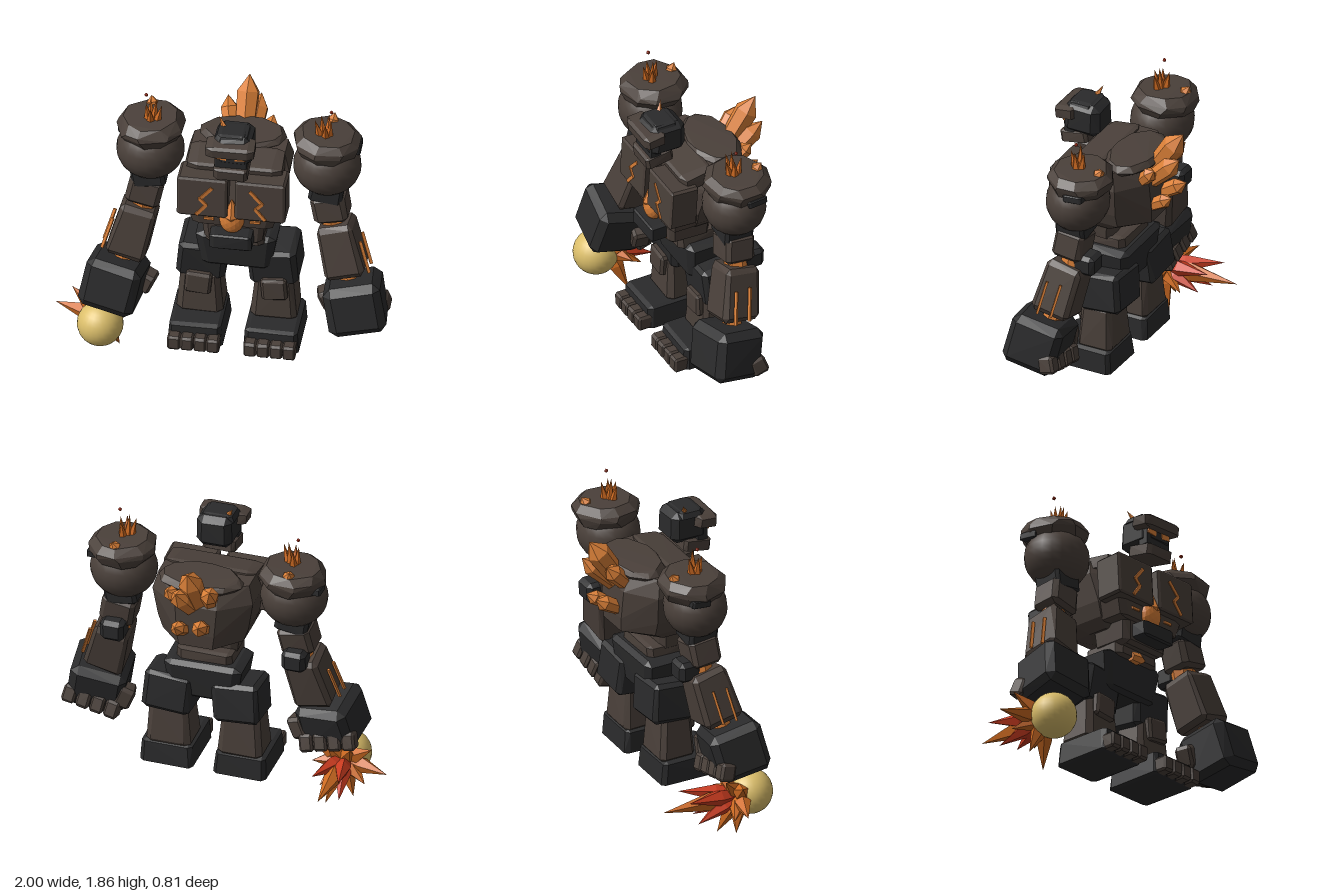
import * as THREE from 'three';
import { ConvexGeometry } from 'three/addons/geometries/ConvexGeometry.js';

const paint = (name, color) => {
  const m = new THREE.MeshStandardMaterial({ color });
  m.name = name;
  return m;
};

export function createModel() {
  const model = new THREE.Group();
  model.name = 'rockGolem';
  const brown = paint('brown rock', 0x4a403a);
  const black = paint('black rock', 0x2a2a2b);
  const orange = paint('orange crystal', 0xdb8038);
  const flame = paint('flame orange', 0xcf6b22);
  const red = paint('flame red', 0xcb3c20);
  const yellow = paint('fireball yellow', 0xdcbf6b);
  const C = 0.08; // body's own middle line

  let seed = 7;
  const rnd = () => {
    seed = (seed * 16807) % 2147483647;
    return seed / 2147483647 - 0.5;
  };
  const add = (name, geo, mat, pos = [0, 0, 0], rot = [0, 0, 0]) => {
    const m = new THREE.Mesh(geo, mat);
    m.name = name;
    m.position.set(...pos);
    m.rotation.set(...rot);
    model.add(m);
    return m;
  };
  const flat = (geo) => {
    const g = geo.index ? geo.toNonIndexed() : geo;
    g.computeVertexNormals();
    return g;
  };
  // Box with chamfered edges; top and bottom may taper, jitter roughens it
  const rock = (name, mat, pos, [w, h, d], { rot, top = 1, bottom = 1, bevel = 0.1, jitter = 0.06 } = {}) => {
    const pts = [];
    for (const x of [-1, 1]) for (const y of [-1, 1]) for (const z of [-1, 1]) {
      const t = y > 0 ? top : bottom;
      for (let a = 0; a < 3; a++) {
        const k = [0, 1, 2].map((i) => (i === a ? 1 : 1 - 2 * bevel) + rnd() * jitter);
        pts.push(new THREE.Vector3(x * w * t * k[0], y * h * k[1], z * d * t * k[2]).multiplyScalar(0.5));
      }
    }
    return add(name, new ConvexGeometry(pts), mat, pos, rot);
  };
  // Uneven disc of stone: rings of [radius, height] joined as a hull
  const disc = (name, mat, pos, rings, sides, rot) => {
    const pts = [];
    for (const [r, y] of rings) for (let i = 0; i < sides; i++) {
      const a = ((i + rnd() * 0.4) / sides) * Math.PI * 2, q = r * (1 + rnd() * 0.06);
      pts.push(new THREE.Vector3(q * Math.cos(a), y + rnd() * 0.012, q * Math.sin(a)));
    }
    return add(name, new ConvexGeometry(pts), mat, pos, rot);
  };
  // Turned shard from a base point to a tip; body is where the point begins
  const shard = (name, mat, from, to, r, body = 0.65, sides = 6) => {
    const a = new THREE.Vector3(...from), dir = new THREE.Vector3(...to).sub(a), L = dir.length();
    const profile = [[0, 0], [r * 0.8, 0], [r, L * body], [0, L]].map((p) => new THREE.Vector2(...p));
    const m = add(name, flat(new THREE.LatheGeometry(profile, sides)), mat, from);
    m.quaternion.setFromUnitVectors(new THREE.Vector3(0, 1, 0), dir.normalize());
    return m;
  };
  // Thin glowing strip between two points
  const strip = (name, from, to, w, t = 0.009) => {
    const a = new THREE.Vector3(...from), dir = new THREE.Vector3(...to).sub(a), L = dir.length();
    const m = add(name, new THREE.BoxGeometry(w, L + w * 0.4, t), orange);
    m.position.copy(a).addScaledVector(dir, 0.5);
    m.quaternion.setFromUnitVectors(new THREE.Vector3(0, 1, 0), dir.normalize());
    return m;
  };

  // Torso: hull of octagonal sections [y, half width, front z, back z]
  const torso = [];
  for (const [y, hw, zf, zb] of [
    [1.09, 0.2, 0.2, -0.09], [1.15, 0.25, 0.28, -0.235], [1.24, 0.28, 0.29, -0.24],
    [1.42, 0.31, 0.23, -0.23], [1.53, 0.28, 0.17, -0.17],
  ]) for (let i = 0; i < 8; i++) {
    const a = ((i + 0.5) / 8) * Math.PI * 2;
    torso.push(new THREE.Vector3(C + hw * 1.08 * Math.cos(a), y, (zf + zb) / 2 + ((zf - zb) / 2) * 1.08 * Math.sin(a)));
  }
  add('torso', new ConvexGeometry(torso), brown);
  const slab = disc('neckSlab', brown, [C + 0.01, 1.53, -0.085], [[0.23, -0.03], [0.265, 0], [0.23, 0.03]], 11);
  slab.scale.z = 0.6;
  rock('collar', brown, [C, 1.49, 0.13], [0.56, 0.09, 0.2], { rot: [0.15, 0, 0] });
  rock('ribs', brown, [C, 1.18, 0.2], [0.54, 0.13, 0.2], { bottom: 0.88, jitter: 0 });
  rock('abdomen', brown, [C, 1.08, 0.13], [0.38, 0.2, 0.28], { bottom: 0.92 });
  rock('waist', brown, [C, 0.97, 0.06], [0.34, 0.1, 0.28]);
  rock('beltBlock', black, [C, 1.055, 0.31], [0.25, 0.1, 0.11]);
  rock('pelvis', black, [C, 0.83, 0.02], [0.48, 0.25, 0.3], { bottom: 0.86, jitter: 0.04 });
  shard('pelvisGem', orange, [C - 0.06, 0.935, 0.19], [C + 0.075, 0.94, 0.19], 0.036, 0.5);

  // Glowing core
  const core = add('core', flat(new THREE.IcosahedronGeometry(1, 2)), orange, [C - 0.002, 1.182, 0.288]);
  core.scale.set(0.075, 0.096, 0.058);
  shard('coreTip', orange, [C, 1.2, 0.3], [C, 1.34, 0.3], 0.055, 0.15);

  // Head
  rock('skull', black, [C + 0.01, 1.715, 0.24], [0.22, 0.2, 0.24], { top: 0.96, bevel: 0.18 });
  rock('brow', brown, [C, 1.745, 0.335], [0.29, 0.08, 0.14], { rot: [0.1, 0, 0.02], bevel: 0.15 });
  rock('crownPlate', black, [C, 1.795, 0.25], [0.21, 0.045, 0.18], { top: 0.85, bevel: 0.15 });
  rock('face', black, [C, 1.66, 0.32], [0.19, 0.11, 0.07], { bevel: 0.05, jitter: 0 });
  rock('jaw', brown, [C, 1.58, 0.29], [0.2, 0.078, 0.18], { rot: [0.17, 0, 0] });
  shard('horn', orange, [0.035, 1.78, 0.23], [-0.012, 1.865, 0.19], 0.024, 0.1, 5);

  // Back crystals: tip, base, radius
  for (const [tip, base, r] of [
    [[0.08, 1.74, -0.39], [0.08, 1.4, -0.16], 0.072],
    [[0.15, 1.6, -0.4], [0.12, 1.36, -0.16], 0.06],
    [[-0.04, 1.61, -0.34], [0.02, 1.4, -0.14], 0.055],
    [[0.24, 1.54, -0.28], [0.2, 1.4, -0.15], 0.045],
    [[0.02, 1.375, -0.38], [0.04, 1.24, -0.16], 0.05],
    [[0.17, 1.34, -0.36], [0.15, 1.22, -0.17], 0.045],
  ]) shard('backCrystal', orange, base, tip, r, 0.75);

  for (const s of [-1, 1]) {
    const P = (x, y, z) => [C + s * x, y, z];
    const R = (x, y, z) => [x, s * y, s * z];

    // Chest plate, leaning back a little, with zigzag crack
    rock('chestPlate', brown, P(0.172, 1.35, 0.25), [0.3, 0.265, 0.18], { rot: [-0.06, 0, 0], bevel: 0.05, jitter: 0 });
    const zig = [[0.115, 1.43], [0.185, 1.35], [0.147, 1.31], [0.203, 1.24]].map(([x, y]) => P(x, y, 0.343 - (y - 1.35) * 0.06));
    for (let i = 0; i < 3; i++) strip('chestCrack', zig[i], zig[i + 1], 0.02);
    strip('ribCrack', P(0.11, 1.18, 0.303), P(0.165, 1.18, 0.303), 0.016);
    add('eye', new THREE.BoxGeometry(0.066, 0.038, 0.009), orange, P(0.057, 1.69, 0.358), R(0, 0, 0.12));

    // Shoulder boulder, cap and crown of shards
    const ball = add('shoulder', new THREE.SphereGeometry(0.202, 20, 14), brown, P(0.525, 1.455, 0.03));
    ball.scale.set(1, 0.92, 0.93);
    disc('shoulderCap', brown, P(0.525, 1.615, 0.01), [[0.175, -0.065], [0.205, -0.01], [0.2, 0.02], [0.16, 0.06]], 9, R(0, 0.3, -0.05));
    rock('rimChunk', black, P(0.685, 1.565, -0.03), [0.07, 0.045, 0.12], { rot: R(0.1, 0, 0) });
    for (const [dx, dy, dz] of [[-0.03, 0.15, 0], [0.03, 0.12, 0.01], [0, 0.11, 0.05], [0.01, 0.12, -0.045], [-0.065, 0.12, 0.02]])
      shard('crownShard', flame, P(0.52 + dx * 0.5, 1.65, 0.03 + dz * 0.4), P(0.52 + dx, 1.665 + dy, 0.03 + dz), 0.028, 0.1, 5);
    shard('capGem', orange, P(0.53, 1.64, -0.1), P(0.545, 1.71, -0.14), 0.037, 0.5);
    add('ember', flat(new THREE.IcosahedronGeometry(0.012, 0)), red, P(0.55, 1.84, 0.03));

    // Arm
    rock('armSocket', black, P(0.53, 1.295, 0.04), [0.2, 0.13, 0.19], { rot: R(0, 0, -0.15) });
    rock('upperArm', brown, P(0.55, 1.175, 0.045), [0.205, 0.18, 0.19], { rot: R(-0.1, 0, 0.2), bevel: 0.13 });
    rock('elbow', black, P(0.56, 1.07, -0.05), [0.145, 0.13, 0.145], { bevel: 0.18 });
    add('elbowGlow', flat(new THREE.CylinderGeometry(0.08, 0.08, 0.1, 8)), orange, P(0.56, 1.075, 0.035), R(0, 0, 0.2));
    rock('forearm', brown, P(0.617, 0.893, 0.078), [0.24, 0.335, 0.245], { rot: R(-0.2, 0, 0.25), top: 0.9 });
    for (const z of [0.125, 0.035]) strip('forearmVein', P(0.735, 0.97, z), P(0.792, 0.78, z + 0.035), 0.014, 0.018);
    add('wristGlow', flat(new THREE.CylinderGeometry(0.06, 0.06, 0.09, 8)), orange, P(0.665, 0.725, 0.12), R(-0.2, 0, 0.25));
    rock('hand', black, P(0.717, 0.565, 0.18), [0.34, 0.31, 0.33], { rot: R(-0.22, 0.1, 0.2), bevel: 0.13 });
    for (let i = 0; i < 4; i++)
      rock('finger', brown, P(0.6 + i * 0.086, 0.435 + i * 0.02, 0.05), [0.082, 0.11, 0.1], { rot: R(0.3, 0, 0.2), bevel: 0.15 });
    rock('thumb', brown, P(0.54, 0.515, 0.09), [0.1, 0.14, 0.11], { rot: R(0, 0.2, 0.4), bevel: 0.15 });

    // Leg and toes
    rock('thigh', black, P(0.21, 0.715, -0.01), [0.29, 0.25, 0.27], { rot: R(0.1, 0, 0.08) });
    rock('knee', brown, P(0.225, 0.565, 0.09), [0.155, 0.145, 0.13], { rot: R(0, 0, 0.1) });
    rock('shin', brown, P(0.22, 0.48, 0.02), [0.275, 0.31, 0.23], { top: 0.85, bevel: 0.12 });
    rock('foot', black, P(0.226, 0.275, 0.09), [0.325, 0.152, 0.39], { top: 0.95, bevel: 0.07, jitter: 0.04 });
    for (let i = 0; i < 4; i++)
      rock('toe', brown, P(0.11 + i * 0.077, 0.252, 0.295), [0.076, 0.095, 0.1], { bevel: 0.14 });
  }

  // Fireball with trailing flame spikes
  const hub = [-0.71, 0.283, 0.25];
  add('fireball', new THREE.SphereGeometry(0.137, 24, 16), yellow, hub);
  const spike = (mat, tip, r) => shard('flameSpike', mat, hub.map((h, i) => h + (tip[i] - h) * 0.15 - (i === 2 ? 0.06 : 0)), tip, r, 0.3, 5);
  for (const tip of [
    [-1, 0.28, 0.08], [-0.62, 0.01, 0.08], [-0.78, 0.065, 0.12], [-0.9, 0.42, 0.1], [-0.87, 0.2, 0.06],
    [-0.61, 0.18, 0], [-0.53, 0.28, 0.1], [-0.515, 0.42, 0.12], [-0.63, 0.43, 0.06], [-0.78, 0.42, 0.05],
  ]) spike(flame, tip, 0.05);
  spike(flame, [-0.705, 0.283, -0.33], 0.058);
  for (const tip of [[-0.79, 0.35, -0.2], [-0.62, 0.35, -0.18], [-0.77, 0.185, -0.13], [-0.65, 0.19, -0.1]]) spike(red, tip, 0.05);

  return model;
}
